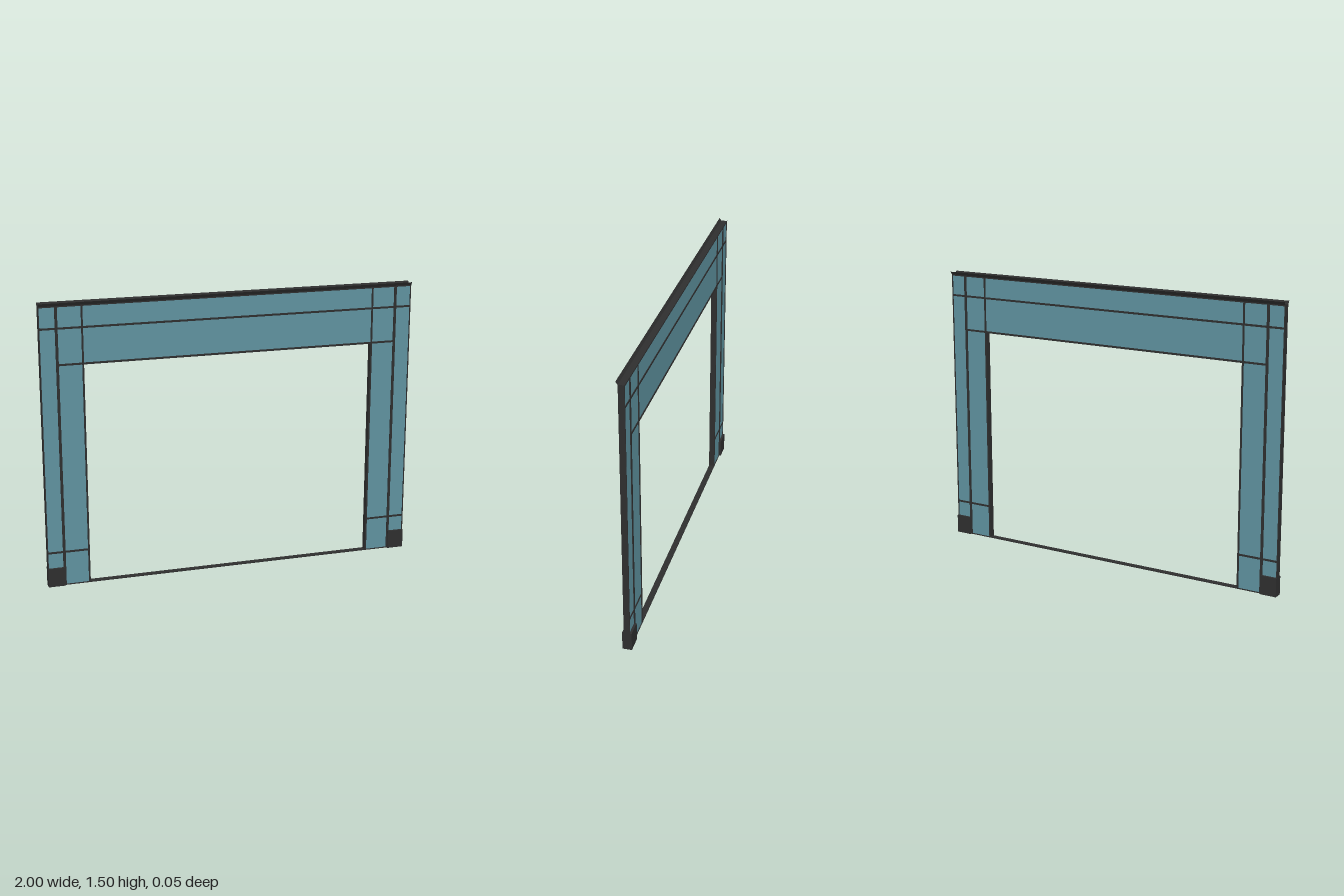
import * as THREE from 'three';

export function createModel() {
  const group = new THREE.Group();
  const frameMat = new THREE.MeshStandardMaterial({ color: 0x2e2e2e });
  frameMat.name = 'darkFrame';
  frameMat.side = THREE.DoubleSide;
  const glassMat = new THREE.MeshStandardMaterial({ color: 0x5f929f });
  glassMat.name = 'tealGlass';

  const TOP = 1.488, DEPTH = 0.032, GLASS = 0.024;

  // box given by its x and y limits, centred on z = 0
  function bar(name, x0, x1, y0, y1, depth = DEPTH, mat = frameMat) {
    const mesh = new THREE.Mesh(new THREE.BoxGeometry(x1 - x0, y1 - y0, depth), mat);
    mesh.position.set((x0 + x1) / 2, (y0 + y1) / 2, 0);
    mesh.name = name;
    group.add(mesh);
  }
  // the same box on both sides, limits measured outwards
  function pair(name, x0, x1, y0, y1, depth, mat) {
    bar(name + 'Left', x0, x1, y0, y1, depth, mat);
    bar(name + 'Right', -x1, -x0, y0, y1, depth, mat);
  }

  // glass panels
  pair('outerGlass', 0.918, 0.995, 0.1, 1.48, GLASS, glassMat);
  pair('innerGlass', 0.785, 0.904, 0.004, 1.48, GLASS, glassMat);
  bar('headerGlass', -0.776, 0.776, 1.19, 1.48, GLASS, glassMat);

  // uprights
  pair('outerPost', 0.995, 1, 0.1, TOP);
  pair('middlePost', 0.904, 0.918, 0, TOP);
  pair('doorJamb', 0.776, 0.785, 0, TOP);

  // rails and threshold
  bar('topRail', -1, 1, 1.48, TOP);
  bar('upperRail', -1, 1, 1.367, 1.377, DEPTH - 0.001);
  bar('doorHead', -0.91, 0.91, 1.18, 1.19, DEPTH - 0.001);
  pair('lowerRail', 0.78, 1, 0.18, 0.19, DEPTH - 0.001);
  bar('threshold', -1, 1, 0, 0.005, DEPTH - 0.001);

  // corner feet
  pair('foot', 0.91, 1, 0, 0.1, 0.049);

  // thin flanges flaring out along the top
  for (const s of [1, -1]) {
    const geo = new THREE.PlaneGeometry(2, 1);
    const p = geo.attributes.position;
    for (let i = 0; i < p.count; i++) {
      const upper = p.getY(i) > 0;
      p.setY(i, upper ? 1.502 : 1.486);
      p.setZ(i, s * (upper ? 0.026 : 0.016));
    }
    geo.computeVertexNormals();
    const flange = new THREE.Mesh(geo, frameMat);
    flange.name = s > 0 ? 'topFlangeFront' : 'topFlangeBack';
    group.add(flange);
  }
  return group;
}
